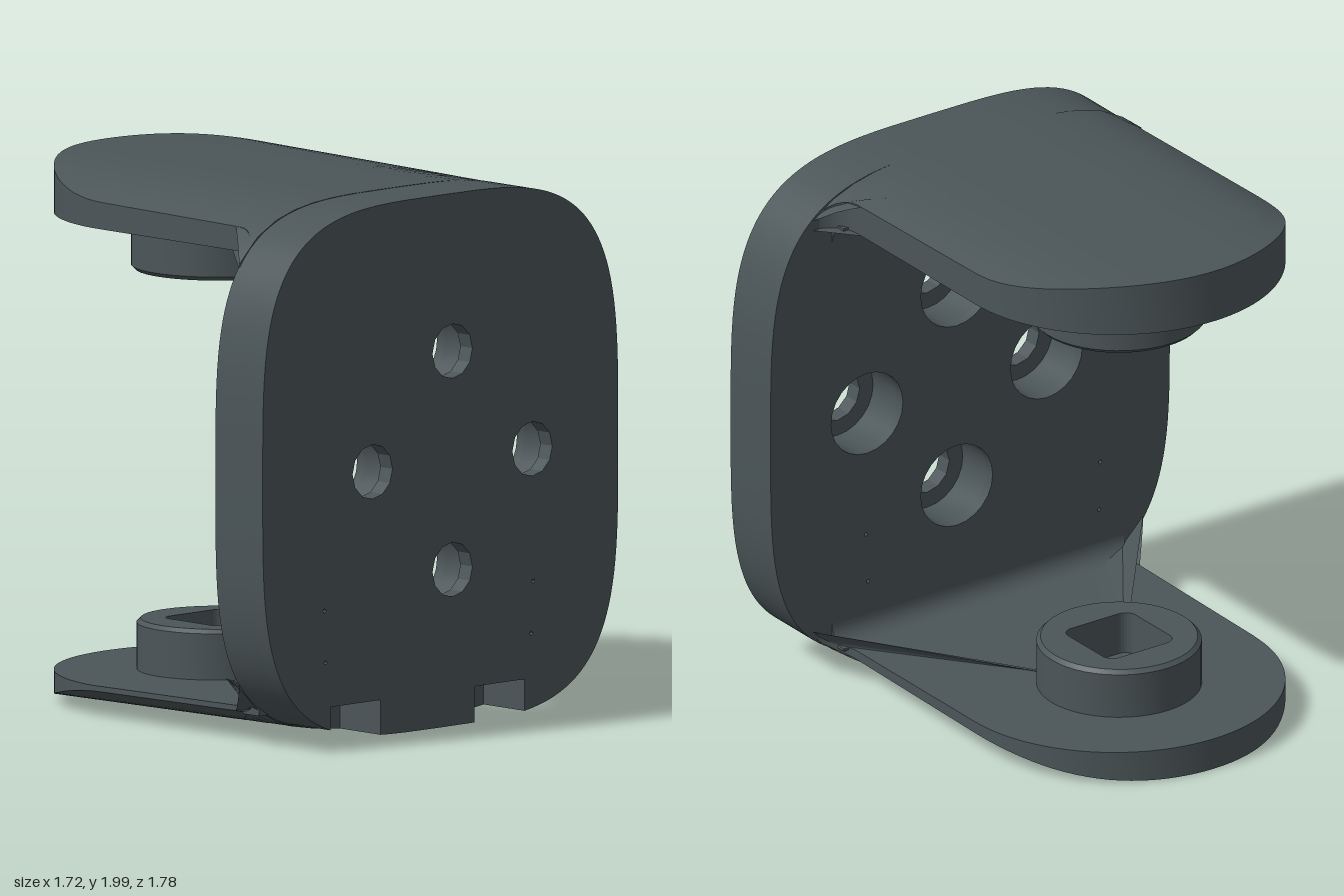
import * as THREE from 'three';
import { toCreasedNormals } from 'three/addons/utils/BufferGeometryUtils.js';

const MID_Y = 1.0025, HALF_Z = 0.89, POWER = 3.7;
const ARM_Z = 0.025, BOSS_X = -0.27;
const material = new THREE.MeshStandardMaterial({ color: 0x4b5558 });

function part(name, geometry) {
  const mesh = new THREE.Mesh(toCreasedNormals(geometry, 0.5), material);
  mesh.name = name;
  return mesh;
}

// Distance of the crowned outer skin from mid height, slightly tapered along x
function crown(x, z) {
  const b = 0.9975 - 0.0145 * (x + 0.86);
  return b * Math.pow(1 - Math.pow(Math.min(1, Math.abs(z / HALF_Z)), POWER), 1 / POWER);
}

// Rounded-square plate outline; u runs along -z
function plateShape(notched, holeRadius) {
  const b = 0.975, N = 64, top = [];
  let bottom = [];
  for (let i = 0; i < 2 * N; i++) {
    const a = (i / N) * Math.PI, c = Math.cos(a), s = Math.sin(a);
    const u = HALF_Z * Math.sign(c) * Math.pow(Math.abs(c), 2 / POWER);
    const y = MID_Y + b * Math.sign(s) * Math.pow(Math.abs(s), 2 / POWER);
    (i <= N ? top : bottom).push(new THREE.Vector2(u, y));
  }
  if (notched) {
    for (const [p, q] of [[-0.55, -0.3], [0.17, 0.42]]) {
      const low = u => MID_Y - b * Math.pow(1 - Math.pow(Math.abs(u / HALF_Z), POWER), 1 / POWER);
      bottom = bottom.filter(v => v.x < p || v.x > q);
      bottom.push(...[[p, low(p)], [p, 0.16], [q, 0.16], [q, low(q)]].map(v => new THREE.Vector2(...v)));
    }
    bottom.sort((v, w) => v.x - w.x);
  }
  const shape = new THREE.Shape([...top, ...bottom]);
  const addHole = (z, y, r, sides) => {
    const pts = [];
    for (let i = 0; i < sides; i++) {
      const a = (i / sides) * Math.PI * 2;
      pts.push(new THREE.Vector2(-z + r * Math.cos(a), y + r * Math.sin(a)));
    }
    shape.holes.push(new THREE.Path(pts));
  };
  const sides = holeRadius > 0.12 ? 24 : 12;
  for (const [z, y] of [[-0.06, 1.4], [-0.06, 0.6], [0.34, 1], [-0.46, 1]]) addHole(z, y, holeRadius, sides);
  for (const [z, y] of [[0.58, 0.515], [-0.465, 0.515], [0.575, 0.325], [-0.455, 0.325]]) addHole(z, y, 0.008, 6);
  return shape;
}

function plateLayer(name, x0, x1, notched, holeRadius) {
  const geo = new THREE.ExtrudeGeometry(plateShape(notched, holeRadius), { depth: x1 - x0, bevelEnabled: false });
  geo.rotateY(Math.PI / 2).translate(x0, 0, -0.01);
  return part(name, geo);
}

// Plan of an arm: flared root, straight sides, round end
function armOutline() {
  const side = [];
  for (let i = 0; i <= 8; i++) {
    const a = (i / 8) * Math.PI / 2;
    side.push([0.61 - 0.12 * (1 - Math.cos(a)), 0.74 - 0.12 * Math.sin(a)]);
  }
  for (let i = 1; i < 8; i++) side.push([0.49 - 0.73 * i / 8, 0.62]);
  for (let i = 0; i < 24; i++) {
    const a = (i / 24) * Math.PI / 2;
    side.push([-0.24 - 0.62 * Math.sin(a), 0.62 * Math.cos(a)]);
  }
  const pts = [...side, [-0.86, 0], ...side.map(([x, z]) => [x, -z]).reverse()];
  for (let i = 1; i < 16; i++) pts.push([0.61, -0.74 + 1.48 * i / 16]);
  return pts;
}

// Arm skin: crowned outside, rim, flat inside; s = 1 for top, -1 for bottom
function armGeometry(s, flatY, holeRadius) {
  const outline = armOutline(), K = 12, rows = K + 3, pos = [], index = [];
  if (s < 0) outline.reverse();
  for (const [x, dz] of outline) {
    const len = Math.hypot(x - BOSS_X, dz);
    const ix = BOSS_X + (x - BOSS_X) / len * holeRadius, iz = dz / len * holeRadius;
    for (let k = 0; k <= K; k++) {
      const px = ix + (x - ix) * k / K, pz = ARM_Z + iz + (dz - iz) * k / K;
      pos.push(px, MID_Y + s * crown(px, pz), pz);
    }
    const z = ARM_Z + dz;
    const depth = Math.min(s * (flatY - MID_Y), crown(x, z) - 0.02);
    pos.push(x, MID_Y + s * depth, z);
    pos.push(ix, flatY, ARM_Z + iz);
  }
  const n = outline.length;
  for (let j = 0; j < n; j++) {
    for (let k = 0; k < rows - 1; k++) {
      const a = j * rows + k, b = ((j + 1) % n) * rows + k;
      index.push(a, b, a + 1, b, b + 1, a + 1);
    }
  }
  const geo = new THREE.BufferGeometry();
  geo.setAttribute('position', new THREE.Float32BufferAttribute(pos, 3));
  geo.setIndex(index);
  return geo;
}

// Concave fillet between an arm and the plate
function filletGeometry(s, flatY) {
  const r = 0.07, pts = [new THREE.Vector2(0.62, flatY + s * 0.01), new THREE.Vector2(0.535, flatY + s * 0.01)];
  for (let i = 0; i <= 8; i++) {
    const a = (i / 8) * Math.PI / 2;
    pts.push(new THREE.Vector2(0.535 + r * Math.sin(a), flatY - s * r * (1 - Math.cos(a))));
  }
  pts.push(new THREE.Vector2(0.62, flatY - s * r));
  const geo = new THREE.ExtrudeGeometry(new THREE.Shape(pts), { depth: 1.3, bevelEnabled: false });
  return geo.translate(0, 0, ARM_Z - 0.65);
}

function lathe(points) {
  const geo = new THREE.LatheGeometry(points.map(p => new THREE.Vector2(...p)), 48);
  return geo.translate(BOSS_X, 0, ARM_Z);
}

// Boss top with a rounded square socket
function socketGeometry() {
  const shape = new THREE.Shape().absarc(0, 0, 0.285, 0, Math.PI * 2);
  const h = 0.15, r = 0.045, hole = new THREE.Path();
  [[1, 1, 0], [-1, 1, 1], [-1, -1, 2], [1, -1, 3]].forEach(([sx, sy, q]) =>
    hole.absarc(sx * (h - r), sy * (h - r), r, q * Math.PI / 2, (q + 1) * Math.PI / 2));
  hole.closePath();
  shape.holes.push(hole);
  const geo = new THREE.ExtrudeGeometry(shape, { depth: 0.16, bevelEnabled: false, curveSegments: 24 });
  return geo.rotateX(-Math.PI / 2).translate(BOSS_X, 0.15, ARM_Z);
}

export function createModel() {
  const model = new THREE.Group();
  model.name = 'bracket';
  const body = new THREE.Group();
  body.name = 'bracketBody';
  body.rotation.y = -0.011;
  model.add(body);

  // Back plate: counterbored inside, notched along the lower outer edge
  body.add(plateLayer('plateInnerLayer', 0.605, 0.64, false, 0.16));
  body.add(plateLayer('plateMiddleLayer', 0.64, 0.79, true, 0.16));
  body.add(plateLayer('plateOuterLayer', 0.79, 0.853, true, 0.1));

  // Arms and their root fillets
  body.add(part('topArm', armGeometry(1, 1.8, 0)));
  body.add(part('bottomArm', armGeometry(-1, 0.125, 0.235)));
  body.add(part('topFillet', filletGeometry(1, 1.8)));
  body.add(part('bottomFillet', filletGeometry(-1, 0.125)));

  // Upper boss with flange and round bore
  body.add(part('topBoss', lathe([[0, 1.78], [0.24, 1.78], [0.24, 1.59], [0.305, 1.59],
    [0.32, 1.605], [0.32, 1.785], [0.4, 1.785], [0.4, 1.81]])));

  // Lower boss with square socket and countersunk hole beneath
  body.add(part('bottomBoss', lathe([[0.3, 0.12], [0.3, 0.295], [0.285, 0.31]])));
  body.add(part('bottomSocket', socketGeometry()));
  body.add(part('countersink', lathe([[0.24, 0.15], [0.12, 0.15], [0.12, 0.11], [0.235, 0.013]])));
  return model;
}
